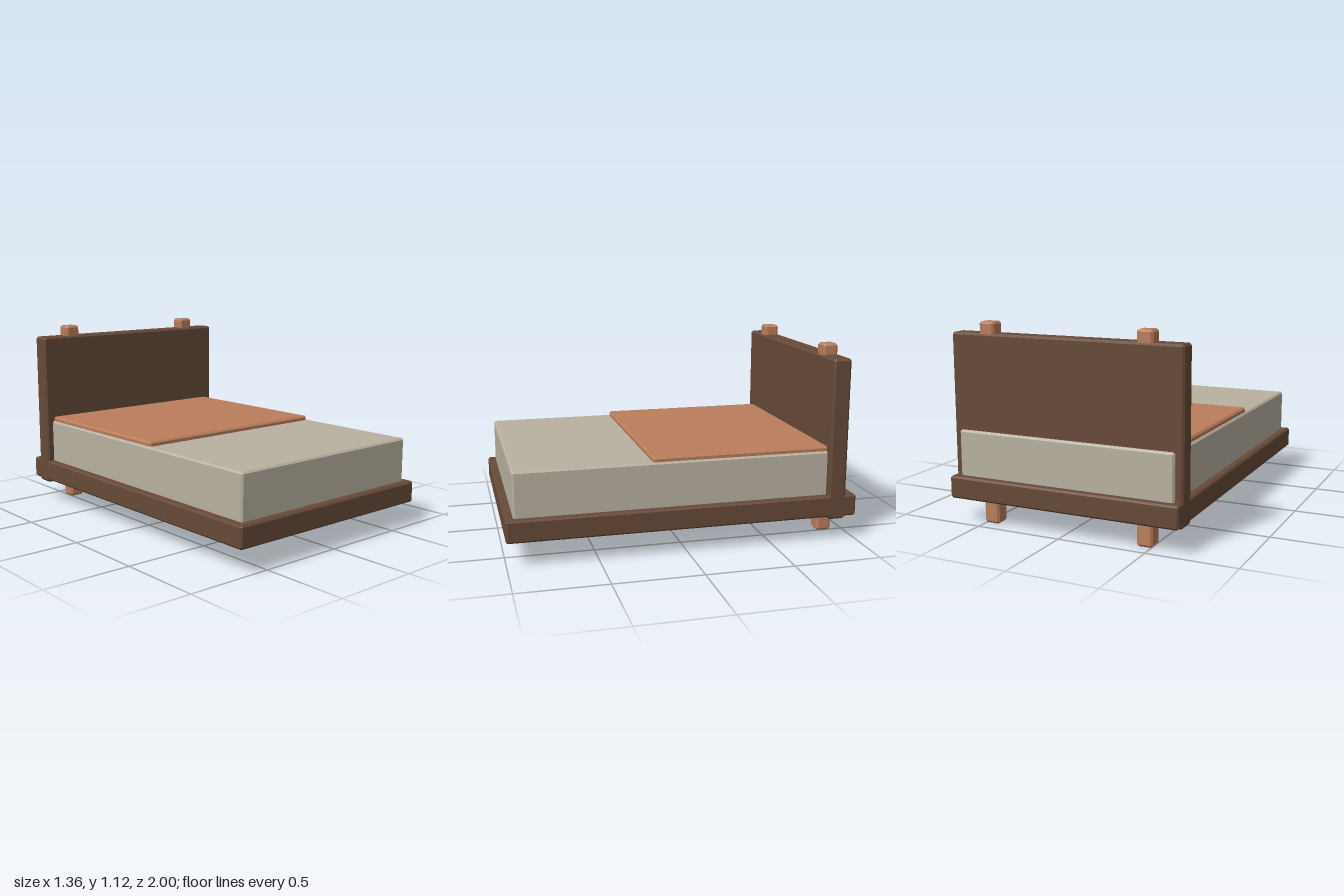
import * as THREE from 'three';
import { ConvexGeometry } from 'three/addons/geometries/ConvexGeometry.js';

const wood = new THREE.MeshStandardMaterial({ color: 0x674a38 });
const lightWood = new THREE.MeshStandardMaterial({ color: 0xba7e5c });
const cloth = new THREE.MeshStandardMaterial({ color: 0xb9b2a2 });

// Box between two corners, with every edge chamfered by b
function chamferBox(name, material, [x0, y0, z0], [x1, y1, z1], b) {
  const h = new THREE.Vector3(x1 - x0, y1 - y0, z1 - z0).multiplyScalar(0.5);
  const points = [];
  for (const sx of [-1, 1]) for (const sy of [-1, 1]) for (const sz of [-1, 1]) {
    const inner = new THREE.Vector3(sx * (h.x - b), sy * (h.y - b), sz * (h.z - b));
    points.push(
      inner.clone().setX(sx * h.x),
      inner.clone().setY(sy * h.y),
      inner.clone().setZ(sz * h.z)
    );
  }
  const mesh = new THREE.Mesh(new ConvexGeometry(points), material);
  mesh.name = name;
  mesh.position.set((x0 + x1) / 2, (y0 + y1) / 2, (z0 + z1) / 2);
  return mesh;
}

export function createModel() {
  const bed = new THREE.Group();
  bed.name = 'bed';

  // Platform and headboard
  bed.add(chamferBox('bedFrame', wood, [-0.68, 0.14, -1], [0.68, 0.265, 1], 0.01));
  bed.add(chamferBox('headboard', wood, [-0.68, 0.125, -0.935], [0.68, 1.055, -0.83], 0.012));

  // Mattress passes through the headboard; blanket lies on its upper half
  bed.add(chamferBox('mattress', cloth, [-0.637, 0.2, -0.955], [0.637, 0.52, 0.955], 0.01));
  bed.add(chamferBox('blanket', lightWood, [-0.625, 0.505, -0.86], [0.625, 0.547, 0.19], 0.01));

  // Posts running through the headboard, forming legs below and finials above
  for (const [name, x] of [['leftPost', 0.463], ['rightPost', -0.463]]) {
    bed.add(chamferBox(name, lightWood, [x - 0.046, 0, -0.927], [x + 0.046, 1.118, -0.838], 0.012));
  }

  return bed;
}
